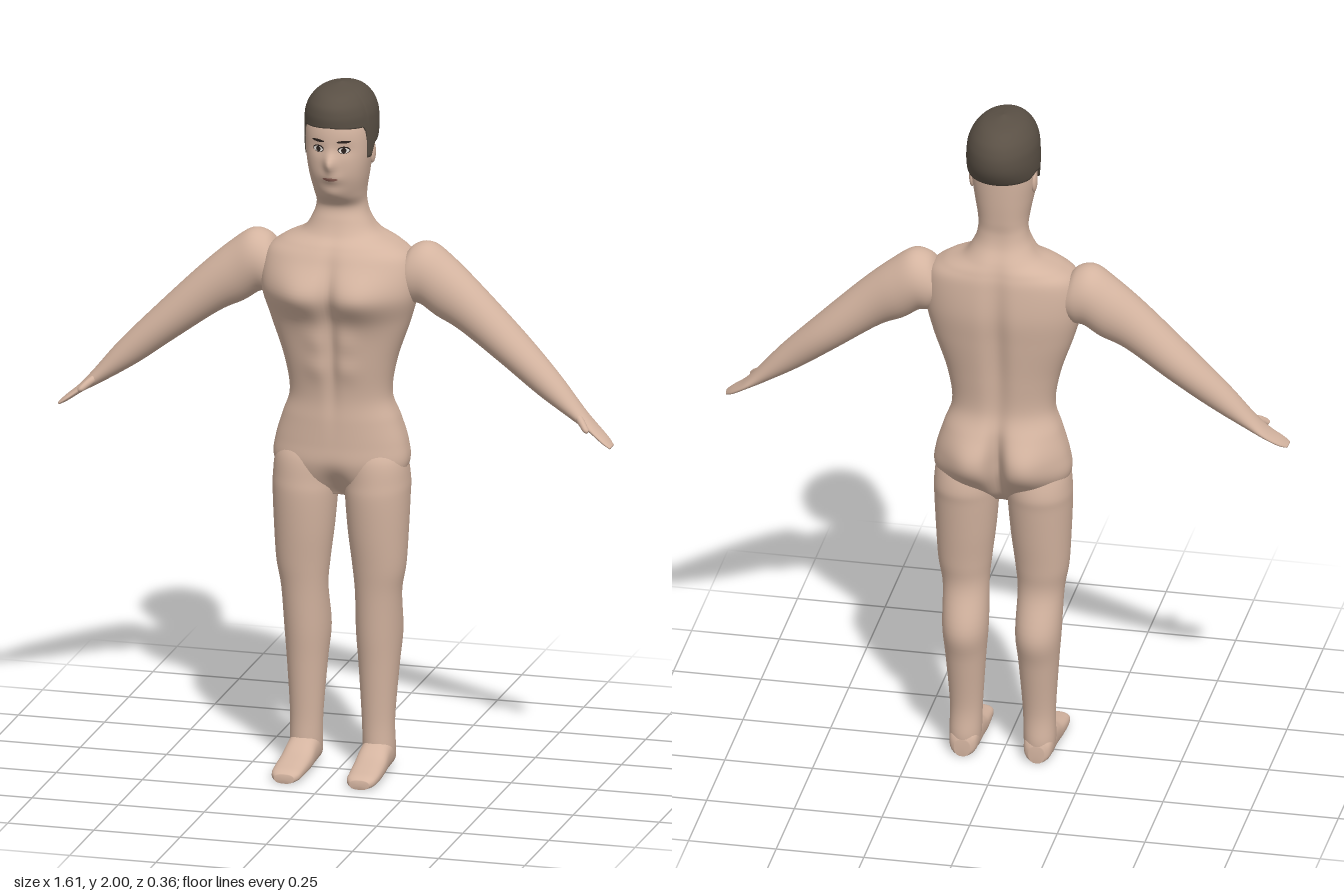
import * as THREE from 'three';

const mat = (name, color) => Object.assign(new THREE.MeshStandardMaterial({ color }), { name });

// Catmull-Rom interpolation through rows of section values, t in 0..1
function sample(keys, t) {
  const n = keys.length - 1, f = Math.min(Math.max(t, 0), 1) * n;
  const i = Math.min(Math.floor(f), n - 1), u = f - i;
  const [a, b, c, d] = [-1, 0, 1, 2].map(k => keys[Math.min(Math.max(i + k, 0), n)]);
  return b.map((_, k) => b[k] + 0.5 * u * (c[k] - a[k] + u * (2 * a[k] - 5 * b[k] + 4 * c[k] - d[k]
    + u * (3 * (b[k] - c[k]) + d[k] - a[k]))));
}

// Closed tube of rings from surf(s, angle), capped at both ends and facing outward
function tube(rows, segs, surf) {
  const pos = [], idx = [];
  for (let r = 0; r <= rows; r++)
    for (let j = 0; j < segs; j++) pos.push(...surf(r / rows, j / segs * Math.PI * 2));
  for (let r = 0; r < rows; r++)
    for (let j = 0; j < segs; j++) {
      const a = r * segs + j, b = r * segs + (j + 1) % segs;
      idx.push(a, b, a + segs, b, b + segs, a + segs);
    }
  for (const r of [0, rows]) {
    const c = [0, 0, 0], m = pos.length / 3;
    for (let j = 0; j < segs; j++) for (let k = 0; k < 3; k++) c[k] += pos[(r * segs + j) * 3 + k] / segs;
    pos.push(...c);
    for (let j = 0; j < segs; j++) {
      const a = r * segs + j, b = r * segs + (j + 1) % segs;
      idx.push(...(r ? [a, b, m] : [b, a, m]));
    }
  }
  // signed volume decides the winding
  const p = i => new THREE.Vector3(pos[i * 3], pos[i * 3 + 1], pos[i * 3 + 2]);
  let vol = 0;
  for (let i = 0; i < idx.length; i += 3) vol += p(idx[i]).dot(p(idx[i + 1]).cross(p(idx[i + 2])));
  if (vol < 0) idx.reverse();
  const g = new THREE.BufferGeometry();
  g.setAttribute('position', new THREE.Float32BufferAttribute(pos, 3));
  g.setIndex(idx);
  g.computeVertexNormals();
  return g;
}

const spow = (v, p) => Math.sign(v) * Math.abs(v) ** p;

// Torso, neck and head sections: y, half width, front z, back z
const BODY = [
  [0.80, 0.10, 0.02, -0.06], [0.84, 0.16, 0.05, -0.10], [0.90, 0.193, 0.07, -0.135], [0.96, 0.188, 0.07, -0.14],
  [1.03, 0.167, 0.07, -0.135], [1.10, 0.145, 0.07, -0.122], [1.20, 0.16, 0.085, -0.13], [1.32, 0.20, 0.10, -0.145],
  [1.41, 0.222, 0.125, -0.155], [1.50, 0.212, 0.10, -0.15], [1.54, 0.17, 0.08, -0.142], [1.57, 0.11, 0.055, -0.13],
  [1.61, 0.082, 0.038, -0.108], [1.65, 0.07, 0.03, -0.10], [1.69, 0.072, 0.06, -0.103], [1.75, 0.083, 0.085, -0.108],
  [1.82, 0.092, 0.088, -0.112], [1.90, 0.09, 0.08, -0.115], [1.96, 0.06, 0.04, -0.09],
];
// Soft swellings and grooves: |x|, y, spread x, spread y, height
const FRONT = [
  [0.09, 1.41, 0.06, 0.05, 0.033], [0, 1.40, 0.018, 0.09, -0.012], [0, 1.22, 0.014, 0.10, -0.012],
  [0.045, 1.27, 0.025, 0.025, 0.006], [0.045, 1.19, 0.025, 0.025, 0.006], [0, 0.82, 0.03, 0.04, -0.03],
  [0, 1.792, 0.012, 0.018, 0.023], [0, 1.75, 0.02, 0.012, 0.009], [0, 1.70, 0.025, 0.015, 0.009],
  [0.037, 1.832, 0.018, 0.012, -0.005],
];
const BACK = [
  [0.085, 0.95, 0.055, 0.055, 0.045], [0, 0.93, 0.016, 0.07, -0.035], [0, 1.30, 0.022, 0.20, -0.018],
];
const relief = (list, x, y) => list.reduce((sum, [cx, cy, sx, sy, h]) =>
  sum + h * Math.exp(-(((Math.abs(x) - cx) / sx) ** 2 + ((y - cy) / sy) ** 2) / 2), 0);

function bodyPoint(t, a) {
  const [y, hw, zf, zb] = sample(BODY, t), c = Math.cos(a), x = hw * Math.sin(a);
  const bump = c > 0 ? relief(FRONT, x, y) : -relief(BACK, x, y);
  return [x, y, (zf + zb) / 2 + (zf - zb) / 2 * spow(c, 0.8) + bump * Math.sqrt(Math.abs(c))];
}

// Height of the face surface at x, y
function faceZ(x, y) {
  let lo = 0.6, hi = 1;
  for (let i = 0; i < 30; i++) {
    const m = (lo + hi) / 2;
    if (sample(BODY, m)[0] < y) lo = m; else hi = m;
  }
  return bodyPoint(lo, Math.asin(x / sample(BODY, lo)[1]))[2];
}

// Thin oval lying on the face
function facePatch(cx, cy, rx, ry, lift, tilt = 0) {
  const g = new THREE.RingGeometry(0.01, 1, 20, 4), p = g.attributes.position;
  for (let i = 0; i < p.count; i++) {
    const x = cx + p.getX(i) * rx, y = cy + p.getY(i) * ry + p.getX(i) * tilt;
    p.setXYZ(i, x, y, faceZ(x, y) + lift);
  }
  g.computeVertexNormals();
  return g;
}

// Hair sections: y, half width, front z, back z
const HAIR = [
  [1.78, 0.096, 0.08, -0.115], [1.81, 0.099, 0.086, -0.125], [1.84, 0.102, 0.092, -0.147], [1.87, 0.103, 0.098, -0.162],
  [1.90, 0.102, 0.102, -0.167], [1.93, 0.098, 0.103, -0.163], [1.96, 0.084, 0.092, -0.147],
  [1.985, 0.056, 0.055, -0.11], [2.0, 0.002, -0.03, -0.035],
];
// Hairline height by angle from the front, in degrees
const HAIRLINE = [[0, 1.90], [56, 1.893], [62, 1.87], [65, 1.80], [79, 1.80], [84, 1.835], [105, 1.845], [125, 1.83], [180, 1.83]];
function hairline(a) {
  const d = Math.acos(Math.cos(a)) * 180 / Math.PI;
  const i = Math.max(1, HAIRLINE.findIndex(h => h[0] >= d - 1e-6));
  const [d0, y0] = HAIRLINE[i - 1], [d1, y1] = HAIRLINE[i];
  return y0 + (y1 - y0) * (d - d0) / (d1 - d0);
}
const hairKeyAt = y => {
  const i = Math.max(1, HAIR.findIndex(k => k[0] >= y - 1e-6));
  return (i - 1 + (y - HAIR[i - 1][0]) / (HAIR[i][0] - HAIR[i - 1][0])) / (HAIR.length - 1);
};
function hairPoint(s, a) {
  const rows = 32, v = Math.max(0, (s * rows - 1) / (rows - 1)), inset = s === 0 ? 0.85 : 1;
  const t0 = hairKeyAt(hairline(a));
  const [y, hw, zf, zb] = sample(HAIR, t0 + (1 - t0) * v);
  return [hw * Math.sin(a) * inset, y, (zf + zb) / 2 + (zf - zb) / 2 * Math.cos(a) * inset];
}

// Arm and hand sections: top x, y, bottom x, y, front z, back z
const ARM = [
  [0.18, 1.50, 0.17, 1.40, 0.03, -0.09], [0.21, 1.54, 0.205, 1.375, 0.042, -0.105], [0.26, 1.55, 0.235, 1.37, 0.045, -0.11],
  [0.32, 1.51, 0.28, 1.34, 0.042, -0.105], [0.41, 1.43, 0.35, 1.305, 0.04, -0.09], [0.54, 1.30, 0.47, 1.22, 0.04, -0.08],
  [0.64, 1.195, 0.58, 1.14, 0.037, -0.055], [0.71, 1.11, 0.685, 1.075, 0.035, -0.035], [0.75, 1.065, 0.735, 1.048, 0.042, -0.028],
  [0.785, 1.035, 0.775, 1.022, 0.05, -0.01], [0.803, 1.018, 0.798, 1.01, 0.048, 0.01],
];
// Thumb sections in the same form
const THUMB = [
  [0.70, 1.105, 0.69, 1.085, 0.03, 0.0], [0.72, 1.09, 0.71, 1.07, 0.052, 0.02],
  [0.735, 1.075, 0.725, 1.06, 0.066, 0.04], [0.742, 1.066, 0.736, 1.056, 0.064, 0.05],
];
// Leg sections: y, centre x, half width, front z, back z
const LEG = [
  [0.98, 0.09, 0.06, 0.03, -0.10], [0.92, 0.10, 0.085, 0.06, -0.12], [0.85, 0.105, 0.09, 0.068, -0.135],
  [0.80, 0.105, 0.09, 0.07, -0.13], [0.70, 0.107, 0.084, 0.062, -0.118], [0.60, 0.11, 0.075, 0.05, -0.105],
  [0.52, 0.107, 0.065, 0.04, -0.10], [0.40, 0.104, 0.064, 0.03, -0.135], [0.30, 0.104, 0.056, 0.02, -0.115],
  [0.15, 0.104, 0.046, 0.01, -0.09], [0.06, 0.106, 0.045, 0.01, -0.094], [0.02, 0.106, 0.04, 0.0, -0.088],
];
// Foot sections: z, centre x, half width, top y
const FOOT = [
  [-0.094, 0.106, 0.022, 0.05], [-0.08, 0.106, 0.038, 0.075], [-0.04, 0.106, 0.044, 0.095], [0.01, 0.106, 0.045, 0.084],
  [0.06, 0.107, 0.046, 0.06], [0.12, 0.109, 0.045, 0.045], [0.16, 0.109, 0.041, 0.036], [0.18, 0.109, 0.028, 0.026],
];

export function createModel() {
  const group = new THREE.Group();
  group.name = 'figure';
  const skin = mat('skin', 0xd4b4a0), hair = mat('hair', 0x5a5045), dark = mat('eye dark', 0x2a211d);
  const white = mat('eye white', 0xe8e2dc), lip = mat('lip', 0x94655a);
  const add = (name, geo, material) => {
    const m = new THREE.Mesh(geo, material);
    m.name = name;
    group.add(m);
  };

  add('torsoAndHead', tube(144, 128, bodyPoint), skin);
  add('hair', tube(32, 120, hairPoint), hair);
  add('mouth', facePatch(0, 1.748, 0.022, 0.005, 0.002), lip);

  for (const [side, k] of [['left', 1], ['right', -1]]) {
    const limb = keys => (s, a) => {
      const [xt, yt, xb, yb, zf, zb] = sample(keys, s), c = Math.cos(a);
      return [k * ((xt + xb) / 2 + (xt - xb) / 2 * c), (yt + yb) / 2 + (yt - yb) / 2 * c,
        (zf + zb) / 2 + (zf - zb) / 2 * Math.sin(a)];
    };
    add(side + 'Arm', tube(60, 32, limb(ARM)), skin);
    add(side + 'Thumb', tube(12, 14, limb(THUMB)), skin);
    add(side + 'Leg', tube(66, 40, (s, a) => {
      const [y, cx, hw, zf, zb] = sample(LEG, s);
      return [k * (cx + hw * Math.sin(a)), y, (zf + zb) / 2 + (zf - zb) / 2 * spow(Math.cos(a), 0.9)];
    }), skin);
    add(side + 'Foot', tube(35, 32, (s, a) => {
      const [z, cx, hw, top] = sample(FOOT, s);
      return [k * (cx + hw * spow(Math.sin(a), 0.8)), top / 2 * (1 + spow(Math.cos(a), 0.8)), z];
    }), skin);

    const ear = new THREE.SphereGeometry(1, 16, 12).scale(0.009, 0.032, 0.018).translate(k * 0.088, 1.80, -0.035);
    add(side + 'Ear', ear, skin);
    add(side + 'EyeRim', facePatch(k * 0.037, 1.833, 0.017, 0.0105, 0.0015), dark);
    add(side + 'Eye', facePatch(k * 0.037, 1.832, 0.0145, 0.008, 0.0025), white);
    add(side + 'Pupil', facePatch(k * 0.037, 1.832, 0.007, 0.0078, 0.0035), dark);
    add(side + 'Eyebrow', facePatch(k * 0.037, 1.857, 0.019, 0.004, 0.002, k * 0.001), dark);
  }
  return group;
}
